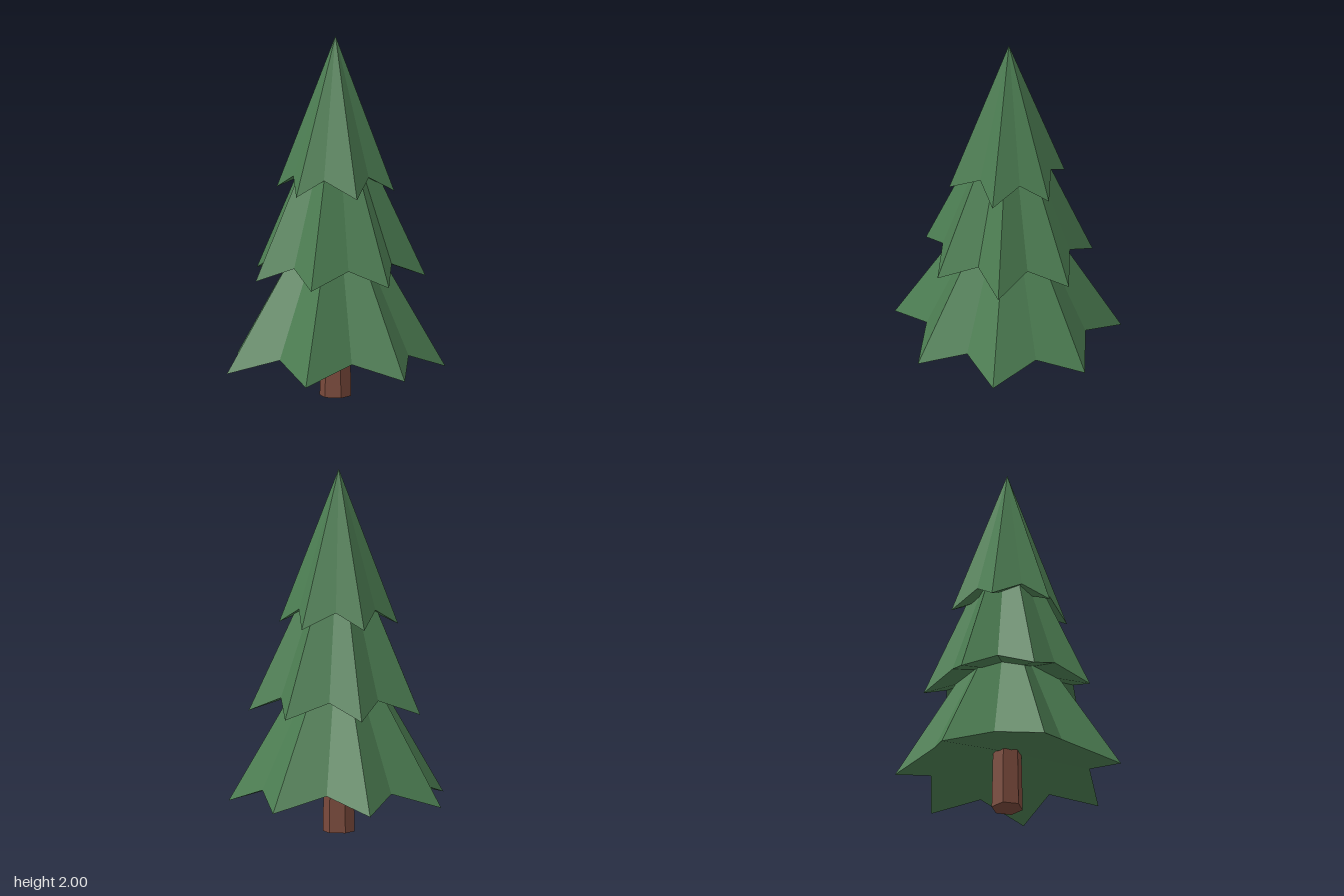
import * as THREE from 'three';

// Trunk axis, slightly off the centre of the foliage
const AX = -0.01, AZ = 0.01;

const green = new THREE.MeshStandardMaterial({ color: 0x4c7d52, flatShading: true });
green.name = 'needleGreen';
const brown = new THREE.MeshStandardMaterial({ color: 0x7a4a3c, flatShading: true });
brown.name = 'barkBrown';

// Star-shaped rims as [x, z], alternating tip and notch
const tiers = [
  { name: 'lowerBranches', apex: 1.21, tip: 0.17, notch: 0.26, under: 0.34, rim: [
    [0.59, 0.02], [0.41, 0.22], [0.35, 0.49], [0.1, 0.44], [-0.12, 0.6], [-0.29, 0.365], [-0.6, 0.3],
    [-0.455, -0.01], [-0.59, -0.275], [-0.27, -0.345], [-0.12, -0.6], [0.11, -0.43], [0.37, -0.475], [0.38, -0.19]] },
  { name: 'middleBranches', apex: 1.73, tip: 0.67, notch: 0.76, under: 0.83, rim: [
    [0.47, 0.025], [0.3, 0.175], [0.295, 0.395], [0.08, 0.335], [-0.1, 0.47], [-0.235, 0.295], [-0.45, 0.21],
    [-0.37, 0.02], [-0.435, -0.2], [-0.22, -0.27], [-0.125, -0.455], [0.08, -0.32], [0.275, -0.35], [0.3, -0.15]] },
  { name: 'topBranches', apex: 2, tip: 1.15, notch: 1.24, under: 1.3, rim: [
    [0.315, 0.025], [0.195, 0.13], [0.15, 0.295], [0, 0.24], [-0.175, 0.305], [-0.23, 0.115],
    [-0.34, 0.01], [-0.235, -0.1], [-0.175, -0.27], [-0.02, -0.23], [0.14, -0.27], [0.19, -0.115]] },
];

// Folded cone: outer faces rise to the apex, inner faces close the hollow underside
function branchTier({ name, apex, tip, notch, under, rim }) {
  const ring = rim.map(([x, z], i) => [x, i % 2 ? notch : tip, z]);
  const pos = [];
  ring.forEach((a, i) => {
    const b = ring[(i + 1) % ring.length];
    pos.push(AX, apex, AZ, ...b, ...a);
    pos.push(AX, under, AZ, ...a, ...b);
  });
  const geo = new THREE.BufferGeometry();
  geo.setAttribute('position', new THREE.Float32BufferAttribute(pos, 3));
  geo.computeVertexNormals();
  const mesh = new THREE.Mesh(geo, green);
  mesh.name = name;
  return mesh;
}

export function createModel() {
  const tree = new THREE.Group();
  tree.name = 'pineTree';

  // Tapered six-sided trunk with corners on the x axis
  const trunk = new THREE.Mesh(
    new THREE.CylinderGeometry(0.078, 0.0875, 0.45, 6, 1, false, Math.PI / 2), brown);
  trunk.name = 'trunk';
  trunk.position.set(AX, 0.225, AZ);
  tree.add(trunk);

  tiers.forEach((t) => tree.add(branchTier(t)));
  return tree;
}
